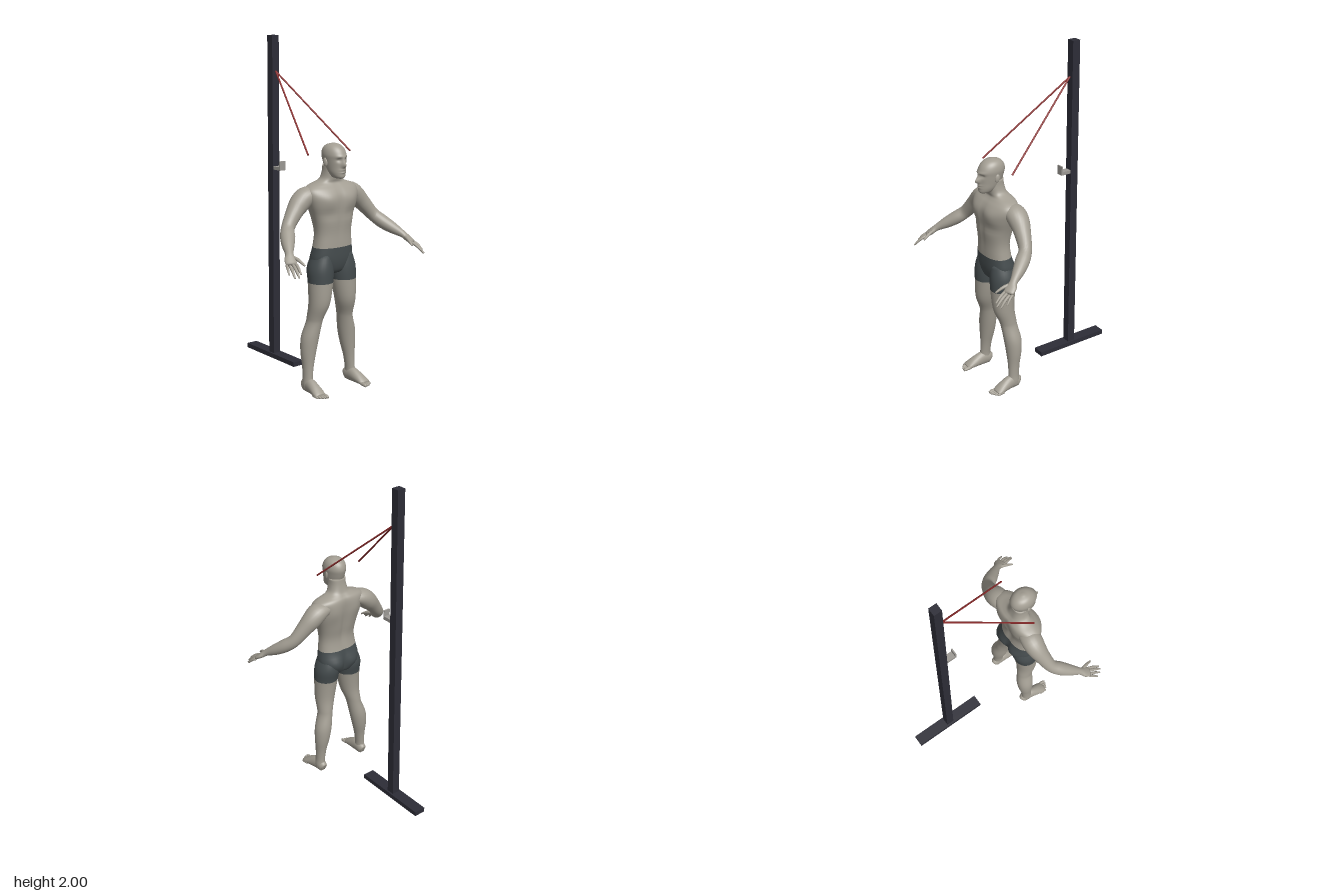
import * as THREE from 'three';

const mat = (name, color) => Object.assign(new THREE.MeshStandardMaterial({ color }), { name });
const V = (x, y, z) => new THREE.Vector3(x, y, z);
const bump = (x, y, sx, sy) => Math.exp(-((x / sx) ** 2) - (y / sy) ** 2);

// Smooth skin through rows [x, y, z, radiusA, radiusB].
// level: rings stay horizontal, otherwise they stand across the path.
// isShorts(y) sends a band of faces to the second material.
function loft(name, rows, materials, { level = false, sides = 24, sub = 4, power = 2, sculpt, isShorts } = {}) {
  const path = new THREE.CatmullRomCurve3(rows.map(r => V(r[0], r[1], r[2])), false, 'catmullrom');
  const size = new THREE.CatmullRomCurve3(rows.map(r => V(r[3], r[4], 0)), false, 'catmullrom');
  const steps = (rows.length - 1) * sub;
  const pos = [], skinFaces = [], shortsFaces = [], heights = [];
  const round = c => Math.sign(c) * Math.abs(c) ** (2 / power);
  for (let i = -1; i <= steps + 1; i++) {
    const t = Math.min(Math.max(i, 0), steps) / steps;
    const closed = i < 0 || i > steps ? 0 : 1;
    const c = path.getPoint(t), r = size.getPoint(t);
    let T = path.getTangent(t), S;
    if (level) {
      T = V(0, Math.sign(rows[rows.length - 1][1] - rows[0][1]), 0);
      S = V(1, 0, 0);
    } else S = V(0, 1, 0).cross(T).normalize();
    const N = T.clone().cross(S);
    heights.push(c.y);
    for (let j = 0; j < sides; j++) {
      const a = (j / sides) * Math.PI * 2;
      const p = c.clone()
        .addScaledVector(S, closed * Math.max(r.x, 0.001) * round(Math.cos(a)))
        .addScaledVector(N, closed * Math.max(r.y, 0.001) * round(Math.sin(a)));
      if (sculpt && closed) sculpt(p);
      pos.push(p.x, p.y, p.z);
    }
  }
  for (let i = 0; i < steps + 2; i++) {
    const list = isShorts && isShorts((heights[i] + heights[i + 1]) / 2) ? shortsFaces : skinFaces;
    for (let j = 0; j < sides; j++) {
      const k = (j + 1) % sides;
      const a = i * sides + j, b = i * sides + k, c = b + sides, d = a + sides;
      list.push(a, b, c, a, c, d);
    }
  }
  const geo = new THREE.BufferGeometry();
  geo.setAttribute('position', new THREE.Float32BufferAttribute(pos, 3));
  geo.setIndex([...skinFaces, ...shortsFaces]);
  geo.addGroup(0, skinFaces.length, 0);
  if (shortsFaces.length) geo.addGroup(skinFaces.length, shortsFaces.length, 1);
  geo.computeVertexNormals();
  const mesh = new THREE.Mesh(geo, materials);
  mesh.name = name;
  return mesh;
}

// Chest, spine groove, shoulder blades and buttocks
function sculptTorso(p) {
  const x = Math.abs(p.x);
  if (p.z > 0.25) {
    p.z += 0.009 * bump(x - 0.075, p.y - 1.11, 0.05, 0.045);
    p.z -= 0.006 * bump(x, p.y - 1.05, 0.014, 0.13);
    p.z -= 0.006 * bump(x - 0.08, p.y - 1.03, 0.07, 0.025);
  } else {
    p.z += 0.013 * bump(x, p.y - 1.02, 0.02, 0.15);
    p.z -= 0.007 * bump(x - 0.08, p.y - 1.11, 0.04, 0.06);
    p.z -= 0.012 * bump(x - 0.065, p.y - 0.75, 0.045, 0.045);
    p.z += 0.015 * bump(x, p.y - 0.75, 0.014, 0.06);
  }
}

// Nose, brow, eye sockets, lips and chin
function sculptHead(p) {
  if (p.z < 0.28) return;
  const x = Math.abs(p.x);
  p.z += 0.024 * bump(x, p.y - 1.303, 0.011, 0.015) + 0.01 * bump(x, p.y - 1.325, 0.009, 0.02);
  p.z += 0.005 * bump(x - 0.02, p.y - 1.35, 0.022, 0.008);
  p.z -= 0.009 * bump(x - 0.023, p.y - 1.332, 0.013, 0.01);
  p.z += 0.007 * bump(x, p.y - 1.276, 0.017, 0.006) + 0.006 * bump(x, p.y - 1.264, 0.015, 0.005);
  p.z -= 0.004 * bump(x, p.y - 1.27, 0.02, 0.0025);
}

export function createModel() {
  const skin = mat('skin', 0xa39e93);
  const shorts = mat('shorts', 0x454c4e);
  const steel = mat('dark steel', 0x2d2d37);
  const bandRed = mat('band red', 0x8a2c2c);
  const hookGrey = mat('hook grey', 0x9c9994);
  const body = [skin, shorts];
  const root = new THREE.Group();
  root.name = 'bandTrainingStation';
  const figure = new THREE.Group();
  figure.name = 'figure';
  root.add(figure);

  // Rows given as [y, halfWidth, frontZ, backZ]
  const upright = rows => rows.map(([y, w, f, b]) => [0, y, (f + b) / 2, w, (f - b) / 2]);

  figure.add(loft('torso', upright([
    [0.68, 0.05, 0.27, 0.2], [0.7, 0.1, 0.305, 0.175], [0.76, 0.135, 0.322, 0.162], [0.84, 0.125, 0.325, 0.178],
    [0.92, 0.117, 0.325, 0.185], [1.0, 0.13, 0.332, 0.17], [1.08, 0.157, 0.335, 0.157], [1.13, 0.172, 0.33, 0.153],
    [1.165, 0.172, 0.312, 0.153], [1.187, 0.145, 0.292, 0.158], [1.203, 0.098, 0.282, 0.17],
    [1.222, 0.064, 0.286, 0.182], [1.26, 0.052, 0.292, 0.192], [1.3, 0.05, 0.292, 0.197],
  ]), body, { level: true, sides: 64, power: 2.35, sculpt: sculptTorso, isShorts: y => y < 0.84 }));

  figure.add(loft('head', upright([
    [1.228, 0.018, 0.335, 0.29], [1.237, 0.033, 0.345, 0.255], [1.26, 0.045, 0.346, 0.225], [1.29, 0.052, 0.344, 0.203],
    [1.33, 0.058, 0.345, 0.188], [1.36, 0.061, 0.343, 0.182], [1.39, 0.054, 0.327, 0.192],
    [1.41, 0.037, 0.302, 0.215], [1.42, 0.008, 0.268, 0.252],
  ]), body, { level: true, sides: 72, sub: 6, sculpt: sculptHead }));

  for (const [side, s] of [['left', 1], ['right', -1]]) {
    const mirror = rows => rows.map(([x, ...rest]) => [s * x, ...rest]);

    const ear = new THREE.Mesh(new THREE.SphereGeometry(1, 16, 12), skin);
    ear.name = side + 'Ear';
    ear.scale.set(0.007, 0.024, 0.014);
    ear.position.set(s * 0.06, 1.318, 0.262);
    ear.rotation.set(-0.2, s * -0.3, 0);
    figure.add(ear);

    // Arm runs through the wrist into the palm
    figure.add(loft(side + 'Arm', mirror([
      [0.1, 1.145, 0.22, 0.055, 0.035], [0.16, 1.13, 0.214, 0.062, 0.054], [0.205, 1.095, 0.215, 0.058, 0.056],
      [0.25, 1.05, 0.225, 0.047, 0.047], [0.31, 0.98, 0.248, 0.037, 0.038], [0.345, 0.94, 0.29, 0.041, 0.039],
      [0.38, 0.905, 0.34, 0.034, 0.033], [0.413, 0.872, 0.393, 0.022, 0.02],
      [0.428, 0.85, 0.42, 0.032, 0.016], [0.441, 0.83, 0.448, 0.03, 0.011],
    ]), body));

    // Fingers and thumb: base, tip, radius
    [
      [[0.418, 0.834, 0.452], [0.438, 0.792, 0.525], 0.008],
      [[0.434, 0.828, 0.452], [0.452, 0.777, 0.528], 0.0085],
      [[0.45, 0.824, 0.445], [0.468, 0.773, 0.513], 0.008],
      [[0.463, 0.826, 0.435], [0.484, 0.787, 0.483], 0.007],
      [[0.41, 0.862, 0.41], [0.39, 0.826, 0.495], 0.0095],
    ].forEach(([a, b, r], i) => {
      const mid = a.map((v, k) => (v + b[k]) / 2);
      mid[1] += 0.006;
      const rows = [[...a, r, r], [...mid, r, r], [...b, r * 0.55, r * 0.55]];
      figure.add(loft(side + (i < 4 ? 'Finger' + (i + 1) : 'Thumb'), mirror(rows), body, { sides: 10 }));
    });

    figure.add(loft(side + 'Leg', mirror([
      [0.07, 0.8, 0.248, 0.055, 0.066], [0.08, 0.72, 0.245, 0.074, 0.08], [0.084, 0.64, 0.252, 0.072, 0.073],
      [0.095, 0.52, 0.255, 0.06, 0.064], [0.108, 0.44, 0.238, 0.047, 0.053], [0.115, 0.4, 0.231, 0.045, 0.05],
      [0.135, 0.32, 0.222, 0.052, 0.052], [0.146, 0.24, 0.221, 0.046, 0.046], [0.153, 0.16, 0.226, 0.033, 0.036],
      [0.158, 0.09, 0.23, 0.027, 0.033], [0.16, 0.05, 0.232, 0.028, 0.036], [0.16, 0.02, 0.232, 0.025, 0.033],
    ]), body, { level: true, sides: 32, isShorts: y => y > 0.64 }));

    figure.add(loft(side + 'Foot', mirror([
      [0.157, 0.032, 0.192, 0.014, 0.02], [0.157, 0.037, 0.205, 0.027, 0.036], [0.158, 0.043, 0.25, 0.03, 0.043],
      [0.162, 0.033, 0.3, 0.034, 0.033], [0.167, 0.02, 0.342, 0.036, 0.02], [0.168, 0.013, 0.362, 0.032, 0.012],
    ]), body));

    // Toes, the big one on the inside
    for (let i = 0; i < 5; i++) {
      const r = i ? 0.0075 : 0.0105, x = i ? 0.146 + i * 0.0125 : 0.143;
      const tip = 0.394 - i * i * 0.0016;
      figure.add(loft(side + 'Toe' + (i + 1), mirror([
        [x, 0.015, tip - 0.045, r, r], [x, 0.012, tip - 0.012, r, r], [x, 0.009, tip, r * 0.6, r * 0.6],
      ]), body, { sides: 10 }));
    }

    // Elastic band from the post towards the shoulder
    const a = V(0, 1.79, -0.268), b = V(s * 0.152, 1.36, 0.225);
    const band = new THREE.Mesh(new THREE.CylinderGeometry(0.005, 0.005, a.distanceTo(b), 10), bandRed);
    band.name = side + 'Band';
    band.position.copy(a).add(b).multiplyScalar(0.5);
    band.quaternion.setFromUnitVectors(V(0, 1, 0), b.clone().sub(a).normalize());
    root.add(band);
  }

  // Post, floor beam and hook: [name, material, min corner, max corner]
  for (const [name, m, lo, hi] of [
    ['post', steel, [-0.024, 0.06, -0.318], [0.024, 2, -0.27]],
    ['floorBeam', steel, [-0.035, 0.04, -0.535], [0.035, 0.068, -0.058]],
    ['hookArm', hookGrey, [-0.02, 1.21, -0.271], [0.02, 1.23, -0.208]],
    ['hookLip', hookGrey, [-0.02, 1.21, -0.214], [0.02, 1.265, -0.206]],
  ]) {
    const box = new THREE.Mesh(new THREE.BoxGeometry(...hi.map((v, k) => v - lo[k])), m);
    box.name = name;
    box.position.set(...hi.map((v, k) => (v + lo[k]) / 2));
    root.add(box);
  }
  return root;
}
